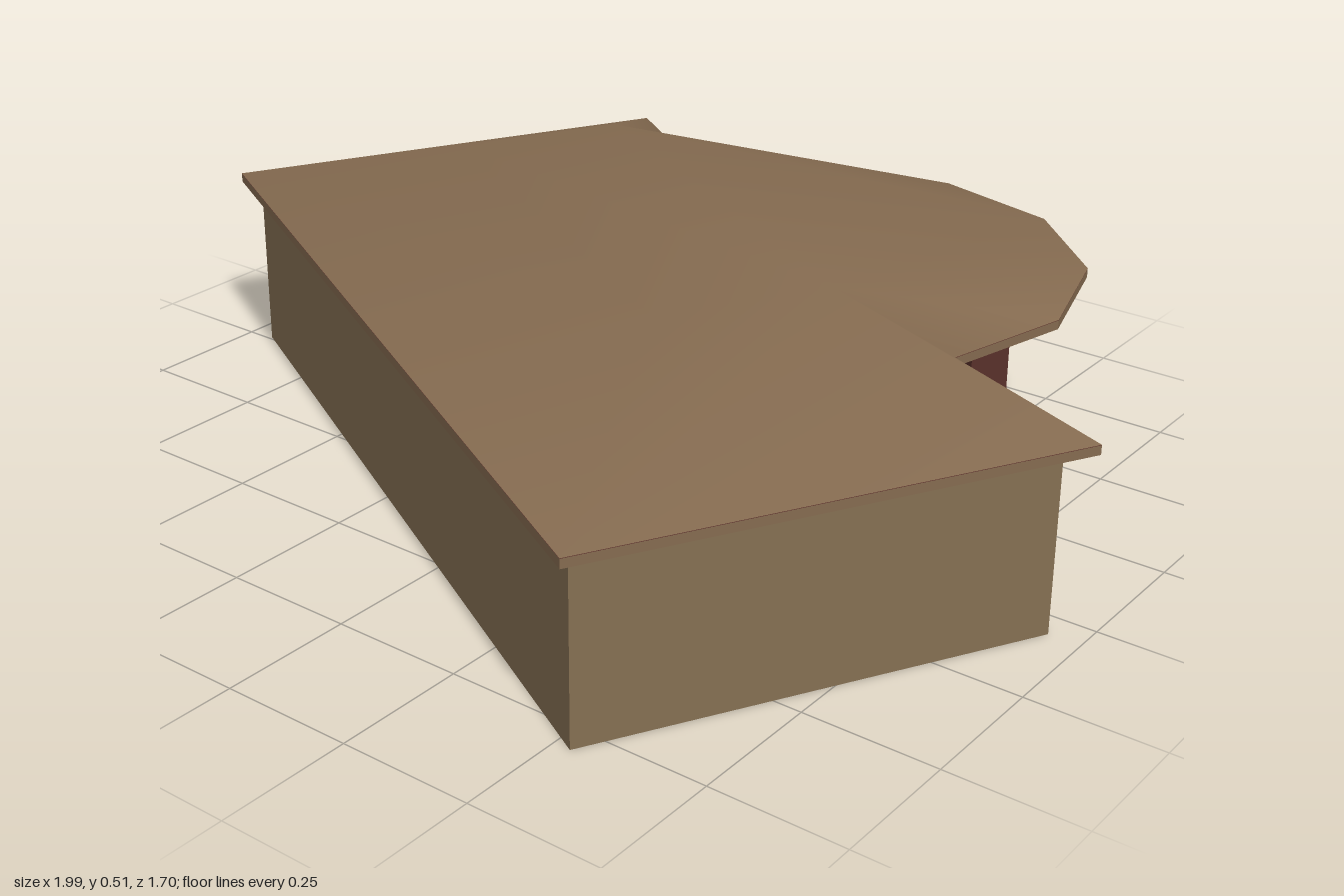
import * as THREE from 'three';

const EAVE = 0.36, RIDGE = 0.51, CEILING = 0.342;
const PORCH_R = 0.505, PORCH_Z = -0.42;

const makeMaterial = (name, color, side = THREE.FrontSide) => {
  const m = new THREE.MeshStandardMaterial({ color, side });
  m.name = name;
  return m;
};

const makeMesh = (name, geometry, material) => {
  const mesh = new THREE.Mesh(geometry, material);
  mesh.name = name;
  return mesh;
};

const toShape = (points) => new THREE.Shape(points.map(([x, z]) => new THREE.Vector2(x, z)));

// Points on the porch circle; angle 0 is +x, PI / 2 is the back
const porchPoint = (a) => [PORCH_R * Math.cos(a), PORCH_Z - PORCH_R * Math.sin(a)];

export function createModel() {
  const model = new THREE.Group();
  model.name = 'pavilion';
  const house = new THREE.Group();
  house.name = 'house';
  house.rotation.y = -0.501;
  house.position.z = 0.02;
  model.add(house);

  const roofTan = makeMaterial('roofTan', 0x856b50);
  const wallTan = makeMaterial('wallTan', 0x857053, THREE.DoubleSide);
  const darkRed = makeMaterial('darkRed', 0x59302a);

  // Eave outline: rectangle with a rounded porch at the back
  const eave = [[-0.885, 0.46], [0.885, 0.46], [0.885, -0.46]];
  for (let k = 0; k <= 6; k++) eave.push(porchPoint((k * Math.PI) / 6));
  eave.push([-0.885, -0.46]);

  // Sloping roof up to a flat top, smooth shaded
  const flatTop = [[-0.46, 0.125], [0.46, 0.125], [0.46, -0.2], [-0.46, -0.2]];
  const positions = [
    ...eave.flatMap(([x, z]) => [x, EAVE, z]),
    ...flatTop.flatMap(([x, z]) => [x, RIDGE, z]),
  ];
  const faces = [
    0, 1, 12, 0, 12, 11, // front slope
    1, 2, 13, 1, 13, 12, // left hip
    10, 0, 11, 10, 11, 14, // right hip
    11, 12, 13, 11, 13, 14, // flat top
    6, 14, 13, // middle of the porch roof
  ];
  for (let i = 2; i < 6; i++) faces.push(i, i + 1, 13);
  for (let i = 6; i < 10; i++) faces.push(i, i + 1, 14);
  const roofGeometry = new THREE.BufferGeometry();
  roofGeometry.setAttribute('position', new THREE.Float32BufferAttribute(positions, 3));
  roofGeometry.setIndex(faces);
  roofGeometry.computeVertexNormals();
  house.add(makeMesh('roof', roofGeometry, roofTan));

  // Eave board with a dark soffit underneath
  const board = new THREE.ExtrudeGeometry(toShape(eave), { depth: EAVE - CEILING - 0.001, bevelEnabled: false });
  board.rotateX(Math.PI / 2);
  board.translate(0, EAVE - 0.001, 0);
  house.add(makeMesh('eaveBoard', board, [darkRed, roofTan]));

  // Straight outer walls, open at the bottom
  const corners = [
    [-PORCH_R, PORCH_Z], [-0.842, PORCH_Z], [-0.842, 0.43],
    [0.842, 0.43], [0.842, PORCH_Z], [PORCH_R, PORCH_Z],
  ];
  for (let i = 0; i < corners.length - 1; i++) {
    const [x0, z0] = corners[i], [x1, z1] = corners[i + 1];
    const wall = makeMesh('wall', new THREE.PlaneGeometry(Math.hypot(x1 - x0, z1 - z0), CEILING), wallTan);
    wall.position.set((x0 + x1) / 2, CEILING / 2, (z0 + z1) / 2);
    wall.rotation.y = Math.atan2(z0 - z1, x1 - x0);
    house.add(wall);
  }

  // Curved recessed wall of the porch
  const recess = new THREE.CylinderGeometry(PORCH_R, PORCH_R, CEILING, 6, 1, true, -Math.PI / 2, Math.PI);
  recess.translate(0, CEILING / 2, PORCH_Z);
  house.add(makeMesh('porchWall', recess, wallTan));

  // Ceiling inside the walls
  const room = [...corners];
  for (let k = 1; k < 6; k++) room.push(porchPoint((-k * Math.PI) / 6));
  const ceiling = new THREE.ShapeGeometry(toShape(room));
  ceiling.rotateX(Math.PI / 2);
  ceiling.translate(0, CEILING - 0.002, 0);
  house.add(makeMesh('ceiling', ceiling, wallTan));

  // Porch post with a pale panel at the top of its outer face
  const post = makeMesh('porchPost', new THREE.BoxGeometry(0.085, CEILING, 0.085), darkRed);
  post.position.set(0, CEILING / 2, -0.795);
  house.add(post);
  const panel = makeMesh('postPanel', new THREE.BoxGeometry(0.085, 0.088, 0.004), wallTan);
  panel.position.set(0, CEILING - 0.044, -0.839);
  house.add(panel);

  return model;
}
